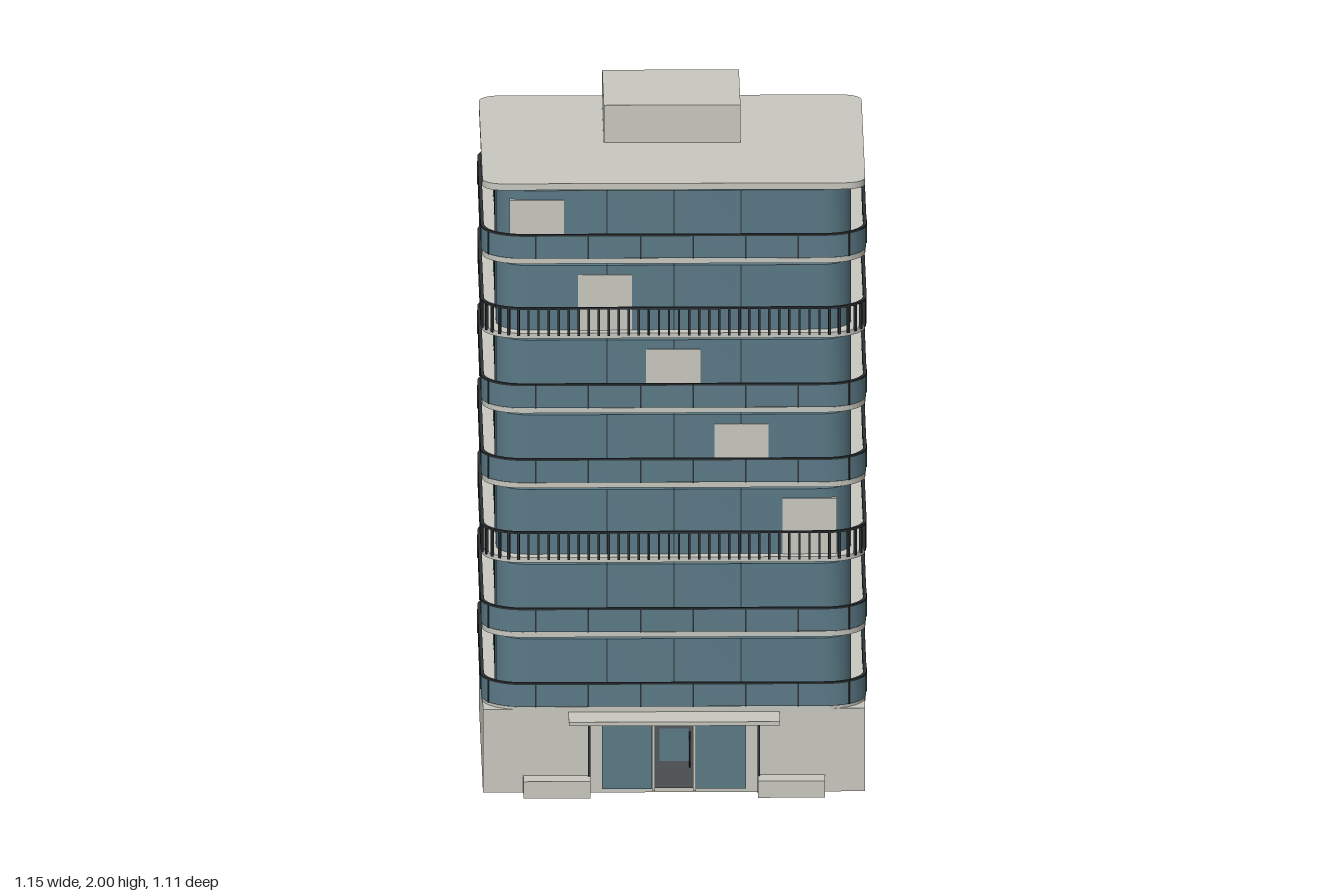
import * as THREE from 'three';
import { mergeGeometries, toCreasedNormals } from 'three/addons/utils/BufferGeometryUtils.js';

const CZ = -0.052;          // depth centre of the tower
const FLOORS = 7;
const PITCH = 0.2313;       // storey height
const FIRST = 0.265;        // top of the first floor slab

const mat = (name, color) => {
  const m = new THREE.MeshStandardMaterial({ color });
  m.name = name;
  return m;
};

// Rounded rectangle in plan, from half sizes and corner radius
function roundedRect(w, d, r, Type = THREE.Shape) {
  const s = new Type();
  s.moveTo(w - r, -d);
  s.absarc(w - r, -d + r, r, -Math.PI / 2, 0);
  s.lineTo(w, d - r);
  s.absarc(w - r, d - r, r, 0, Math.PI / 2);
  s.lineTo(-w + r, d);
  s.absarc(-w + r, d - r, r, Math.PI / 2, Math.PI);
  s.lineTo(-w, -d + r);
  s.absarc(-w + r, -d + r, r, Math.PI, Math.PI * 1.5);
  s.lineTo(w - r, -d);
  return s;
}

// Raise a plan outline into a solid standing on y = 0
function raise(shape, height) {
  const g = new THREE.ExtrudeGeometry(shape, { depth: height, bevelEnabled: false, curveSegments: 10 });
  g.rotateX(-Math.PI / 2);
  return toCreasedNormals(g, 0.6);
}

// Hollow band following the plan outline
function band(w, d, r, thick, height) {
  const s = roundedRect(w, d, r);
  s.holes.push(roundedRect(w - thick, d - thick, r - thick, THREE.Path));
  return raise(s, height);
}

// Upright bars evenly spaced around the outline
function bars(w, d, r, count, width, depth, height) {
  const path = roundedRect(w, d, r);
  const list = [];
  for (let i = 0; i < count; i++) {
    const u = (i + 0.5) / count;
    const p = path.getPointAt(u), t = path.getTangentAt(u);
    const g = new THREE.BoxGeometry(width, height, depth);
    g.rotateY(Math.atan2(t.y, t.x));
    g.translate(p.x, height / 2, -p.y);
    list.push(g);
  }
  return mergeGeometries(list);
}

export function createModel() {
  const root = new THREE.Group();
  root.name = 'officeTower';
  const concrete = mat('concrete', 0xc8c8c0);
  const glass = mat('blueGlass', 0x5b7a87);
  const dark = mat('darkMetal', 0x2c3134);
  const doorGrey = mat('doorGrey', 0x54585b);

  const add = (parent, name, geo, material, x = 0, y = 0, z = 0) => {
    const m = new THREE.Mesh(geo, material);
    m.name = name;
    m.position.set(x, y, z);
    parent.add(m);
    return m;
  };
  // Box given by its limits
  const box = (parent, name, material, x0, x1, y0, y1, z0, z1) =>
    add(parent, name, new THREE.BoxGeometry(x1 - x0, y1 - y0, z1 - z0), material,
      (x0 + x1) / 2, (y0 + y1) / 2, (z0 + z1) / 2);

  // Ground floor block
  box(root, 'base', concrete, -0.57, 0.57, 0, 0.257, -0.545, 0.44);

  // Shared storey parts
  const slabGeo = raise(roundedRect(0.572, 0.495, 0.12), 0.016);
  const wallGeo = raise(roundedRect(0.53, 0.459, 0.1), 0.2);
  const glassRail = band(0.574, 0.501, 0.125, 0.006, 0.07);
  const topRail = band(0.576, 0.503, 0.127, 0.01, 0.006);
  const posts = bars(0.572, 0.499, 0.123, 26, 0.005, 0.01, 0.072);
  const balusters = bars(0.572, 0.499, 0.123, 136, 0.007, 0.008, 0.086);

  // Thin seams between the window panes
  const seams = [];
  for (const p of [-0.2, 0, 0.2]) {
    seams.push(new THREE.BoxGeometry(0.003, 0.2, 0.921).translate(p, 0.1, 0));
    seams.push(new THREE.BoxGeometry(1.063, 0.2, 0.003).translate(0, 0.1, p));
  }
  const seamGeo = mergeGeometries(seams);

  for (let i = 0; i < FLOORS; i++) {
    const storey = new THREE.Group();
    storey.name = 'storey' + (i + 1);
    storey.position.set(0, FIRST + i * PITCH, CZ);
    root.add(storey);
    add(storey, 'floorSlab', slabGeo, concrete, 0, -0.016);
    add(storey, 'windowWall', wallGeo, glass);
    add(storey, 'windowSeams', seamGeo, dark);
    if (i === 2 || i === 5) {
      add(storey, 'balusters', balusters, dark, 0, -0.006);
      add(storey, 'handrail', topRail, dark, 0, 0.075);
    } else {
      add(storey, 'glassRailing', glassRail, glass, 0, 0.002);
      add(storey, 'railingPosts', posts, dark, 0, 0.001);
      add(storey, 'handrail', topRail, dark, 0, 0.07);
    }
    // Pale panels stepping diagonally up the front
    if (i >= 2) {
      const x = 0.405 - (i - 2) * 0.2035;
      box(storey, 'facadePanel', concrete, x - 0.081, x + 0.081, 0, 0.171, 0.43, 0.463);
    }
  }

  // Roof
  add(root, 'roofSlab', raise(roundedRect(0.571, 0.493, 0.06), 0.02), concrete, 0, 1.864, CZ);
  box(root, 'roofHouse', concrete, -0.204, 0.204, 1.88, 2, -0.41, -0.015);

  // Entrance
  const entrance = new THREE.Group();
  entrance.name = 'entrance';
  root.add(entrance);
  box(entrance, 'canopy', concrete, -0.315, 0.315, 0.236, 0.248, 0.43, 0.555);
  box(entrance, 'entranceSurround', concrete, -0.25, 0.25, 0, 0.225, 0.435, 0.444);
  for (const s of [-1, 1]) {
    const pane = [s * 0.066, s * 0.215].sort((a, b) => a - b);
    box(entrance, 'entranceWindow', glass, pane[0], pane[1], 0.012, 0.222, 0.44, 0.449);
    box(entrance, 'canopyPost', dark, s * 0.253 - 0.004, s * 0.253 + 0.004, 0, 0.236, 0.442, 0.456);
    const px = [s * 0.25, s * 0.45].sort((a, b) => a - b);
    box(entrance, 'planter', concrete, px[0], px[1], 0, 0.052, 0.43, 0.51);
    box(entrance, 'doorJamb', concrete, s * 0.061 - 0.004, s * 0.061 + 0.004, 0.008, 0.222, 0.44, 0.458);
  }
  box(entrance, 'door', doorGrey, -0.057, 0.057, 0.015, 0.218, 0.44, 0.453);
  box(entrance, 'doorWindow', glass, -0.043, 0.043, 0.1, 0.2, 0.45, 0.456);

  // Curved door handle
  const handle = new THREE.CatmullRomCurve3([
    new THREE.Vector3(0.047, 0.08, 0.452), new THREE.Vector3(0.047, 0.1, 0.468),
    new THREE.Vector3(0.047, 0.17, 0.468), new THREE.Vector3(0.047, 0.19, 0.452)]);
  add(entrance, 'doorHandle', new THREE.TubeGeometry(handle, 12, 0.0025, 6), dark);

  return root;
}
